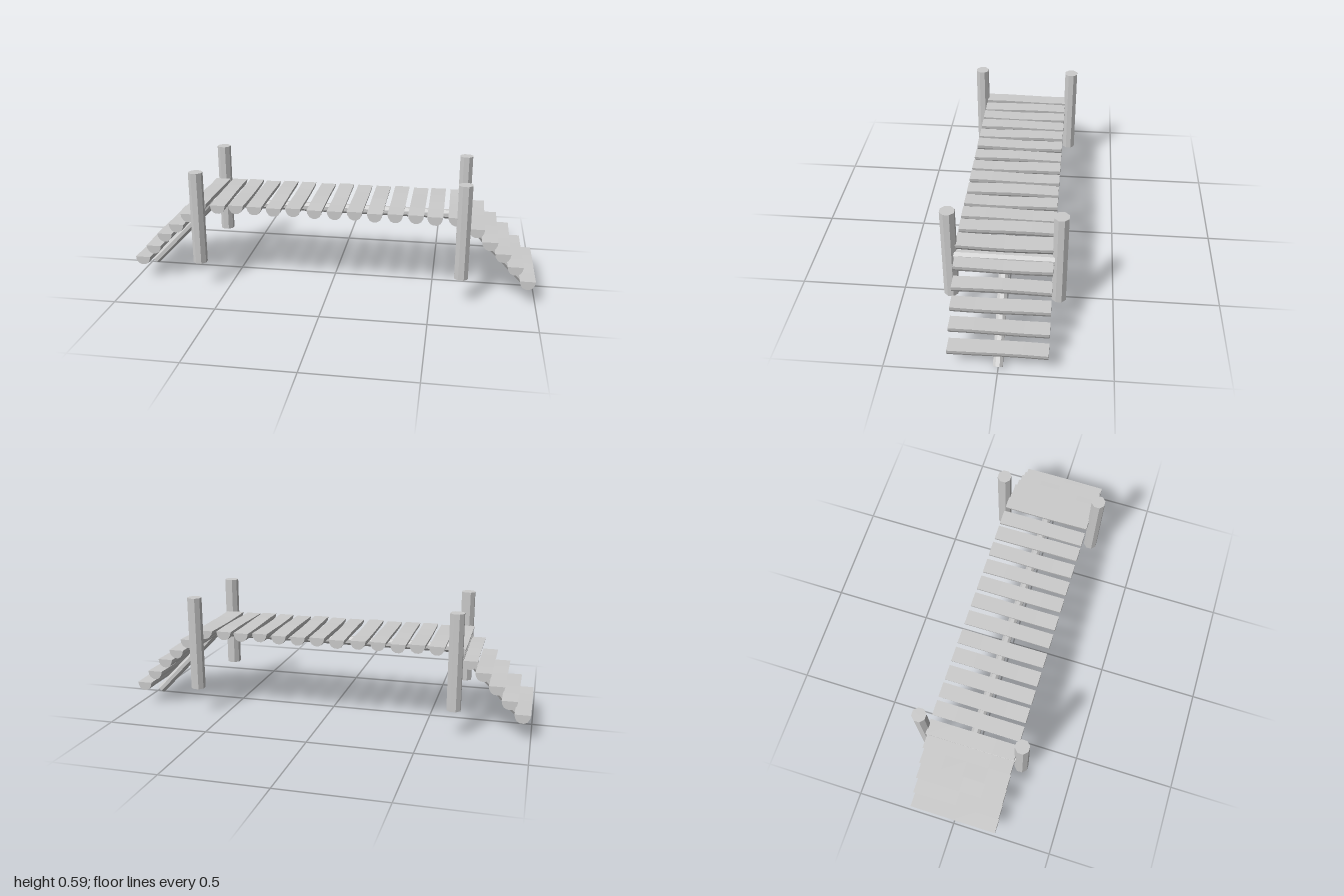
import * as THREE from 'three';

const wood = new THREE.MeshStandardMaterial({ color: 0xcccccc, flatShading: true });

// Eight-sided log running from point a to point b
function log(name, a, b, radius, turn = 0) {
  const from = new THREE.Vector3(...a), to = new THREE.Vector3(...b);
  const dir = to.clone().sub(from);
  const geo = new THREE.CylinderGeometry(radius, radius, dir.length(), 8).rotateY(turn);
  const mesh = new THREE.Mesh(geo, wood);
  mesh.name = name;
  mesh.position.copy(from).add(to).multiplyScalar(0.5);
  mesh.quaternion.setFromUnitVectors(new THREE.Vector3(0, 1, 0), dir.normalize());
  return mesh;
}

// Half log along z, flat side up, slightly uneven along its length
function plank(name, x, top, width, seed) {
  const w = width / 2;
  const shape = new THREE.Shape([
    [-w, 0], [-w * 0.9, -0.018], [-w * 0.6, -0.035], [-w * 0.2, -0.042],
    [w * 0.3, -0.041], [w * 0.7, -0.032], [w * 0.92, -0.017], [w, 0],
  ].map(([px, py]) => new THREE.Vector2(px, py)));
  const length = 0.435;
  const geo = new THREE.ExtrudeGeometry(shape, { depth: length, steps: 4, bevelEnabled: false });
  geo.translate(0, 0, -length / 2);
  const p = geo.attributes.position;
  for (let i = 0; i < p.count; i++) {
    const z = p.getZ(i);
    p.setY(i, p.getY(i) + 0.0025 * Math.sin(z * 11 + seed * 2.3));
  }
  geo.computeVertexNormals();
  const mesh = new THREE.Mesh(geo, wood);
  mesh.name = name;
  mesh.position.set(x, top, 0);
  return mesh;
}

export function createModel() {
  const bridge = new THREE.Group();
  bridge.name = 'plankBridge';

  // Long beam under the deck
  bridge.add(log('deckBeam', [-0.66, 0.362, 0], [0.66, 0.362, 0], 0.023, Math.PI / 8));

  // Deck planks
  const deck = new THREE.Group();
  deck.name = 'deckPlanks';
  [-0.647, -0.552, -0.46, -0.368, -0.272, -0.175, -0.07, 0.028, 0.125, 0.222, 0.32, 0.418, 0.508]
    .forEach((x, i) => deck.add(plank('deckPlank', x, 0.421, 0.075, i)));
  deck.add(plank('deckPlank', 0.615, 0.418, 0.092, 13));
  bridge.add(deck);

  for (const side of [1, -1]) {
    const end = new THREE.Group();
    end.name = side > 0 ? 'leftEnd' : 'rightEnd';

    // Upright posts and the cross beam between them
    for (const z of [0.245, -0.245]) {
      end.add(log('post', [side * 0.643, 0.13, z], [side * 0.643, 0.594, z], 0.035, Math.PI / 8));
    }
    end.add(log('crossBeam', [side * 0.653, 0.36, -0.223], [side * 0.653, 0.36, 0.223], 0.025, Math.PI / 8));

    // Sloping beam with its steps
    end.add(log('rampBeam', [side * 0.973, 0.016, 0], [side * 0.645, 0.352, 0], 0.023, Math.PI / 8));
    [[0.958, 0.121], [0.896, 0.187], [0.834, 0.251], [0.77, 0.309], [0.705, 0.366]]
      .forEach(([x, y], i) => end.add(plank('step', side * x, y, 0.075, i * 1.7 + side)));
    bridge.add(end);
  }
  return bridge;
}
